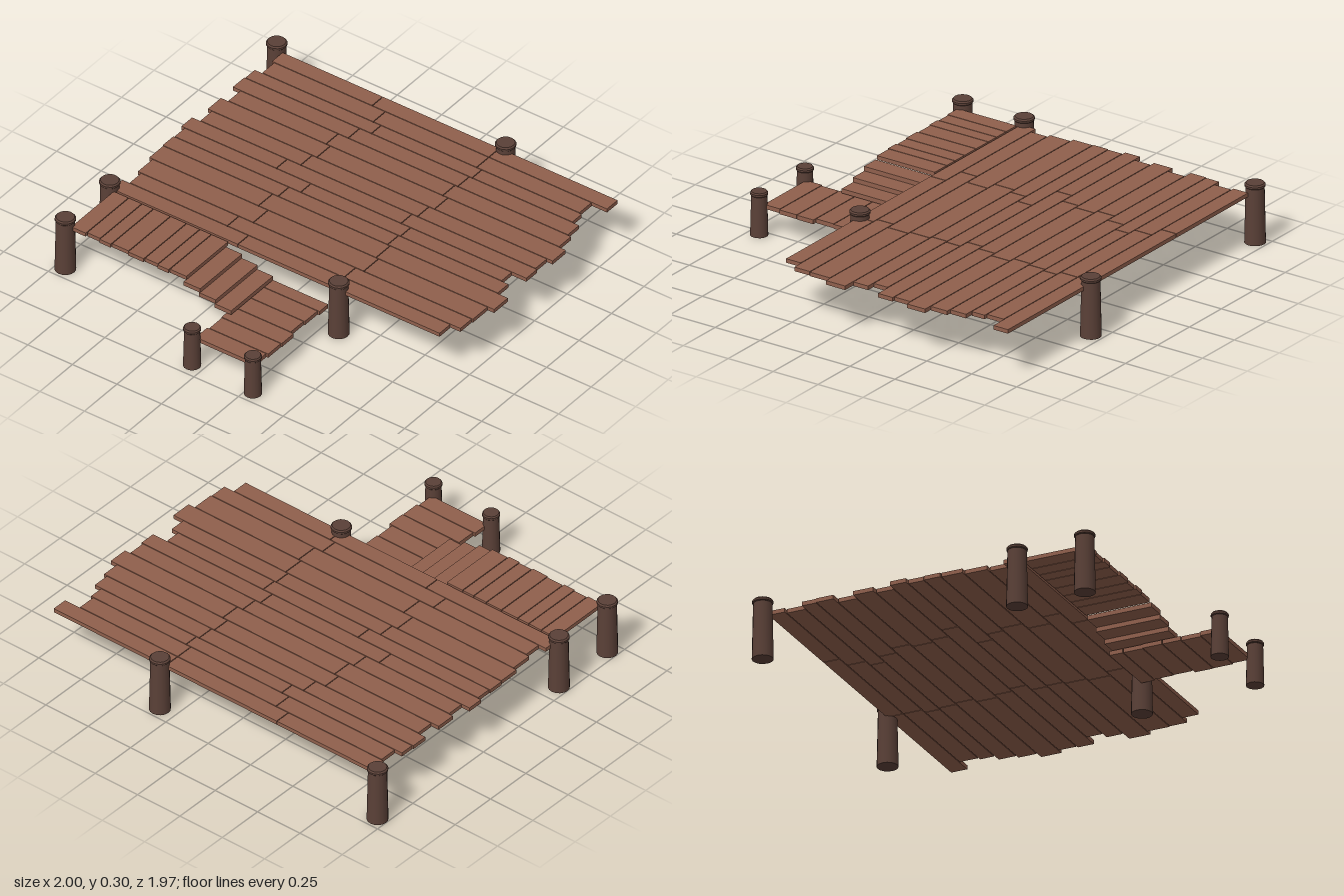
import * as THREE from 'three';

const GAP = 0.004;
const wood = new THREE.MeshStandardMaterial({ color: 0x8f5f4c });
const darkWood = new THREE.MeshStandardMaterial({ color: 0x5a4037 });

// One board filling the given extents
function plank(parent, name, x0, x1, y0, y1, z0, z1) {
  const mesh = new THREE.Mesh(new THREE.BoxGeometry(x1 - x0, y1 - y0, z1 - z0), wood);
  mesh.position.set((x0 + x1) / 2, (y0 + y1) / 2, (z0 + z1) / 2);
  mesh.name = name;
  parent.add(mesh);
}

// Tapered round post with a slightly flared, bevelled cap
function post(parent, name, x, z, r, h) {
  const group = new THREE.Group();
  group.name = name;
  const capBase = h - 0.02;
  const shaft = new THREE.Mesh(new THREE.CylinderGeometry(r * 0.88, r, capBase, 16), darkWood);
  shaft.position.y = capBase / 2;
  shaft.name = 'shaft';
  const profile = [[0, 0], [r * 0.9, 0], [r * 0.98, 0.004], [r * 0.98, 0.013], [r * 0.85, 0.02], [0, 0.02]];
  const capGeometry = new THREE.LatheGeometry(profile.map(p => new THREE.Vector2(...p)), 16).toNonIndexed();
  capGeometry.computeVertexNormals();
  const cap = new THREE.Mesh(capGeometry, darkWood);
  cap.position.y = capBase;
  cap.name = 'cap';
  group.add(shaft, cap);
  group.position.set(x, 0, z);
  parent.add(group);
}

function section(parent, name) {
  const group = new THREE.Group();
  group.name = name;
  parent.add(group);
  return group;
}

export function createModel() {
  const model = new THREE.Group();
  model.name = 'woodenDock';

  // Main deck: rows of three boards with staggered joints
  const deck = section(model, 'mainDeck');
  const rowZ = [-0.93, -0.845, -0.75, -0.675, -0.585, -0.49, -0.385, -0.295, -0.21, -0.13, -0.045, 0.065, 0.18, 0.27, 0.355];
  const rowX = [
    [-0.91, -0.345, 0.31, 0.97], [-0.895, -0.27, 0.31, 0.885], [-0.935, -0.225, 0.34, 0.9],
    [-0.94, -0.29, 0.325, 0.94], [-0.895, -0.345, 0.31, 0.96], [-0.935, -0.32, 0.34, 1.0],
    [-0.91, -0.345, 0.31, 0.97], [-0.955, -0.42, 0.28, 0.98], [-0.935, -0.225, 0.335, 0.9],
    [-0.94, -0.29, 0.325, 0.94], [-0.935, -0.32, 0.34, 1.0], [-0.915, -0.265, 0.355, 0.965],
    [-0.895, -0.345, 0.31, 0.96], [-0.935, -0.225, 0.34, 0.905],
  ];
  rowX.forEach((xs, i) => {
    for (let j = 0; j < 3; j++) {
      plank(deck, 'deckPlank', xs[j], xs[j + 1] - (j < 2 ? GAP : 0), 0.235, 0.255, rowZ[i], rowZ[i + 1] - GAP);
    }
  });

  // Side walkway: boards laid across, level with the deck
  const walkway = section(model, 'walkway');
  const walkX = [-0.915, -0.83, -0.755, -0.69, -0.595, -0.505, -0.43, -0.365, -0.27];
  for (let i = 0; i < walkX.length - 1; i++) {
    const end = i % 2 ? 0.683 : 0.69;
    plank(walkway, 'walkwayPlank', walkX[i], walkX[i + 1] - GAP, 0.235, 0.255, 0.362, end);
  }

  // Steps down to the landing
  const steps = section(model, 'steps');
  for (let i = 0; i < 3; i++) {
    const x = -0.28 + i * 0.087, y = 0.208 - i * 0.024;
    plank(steps, 'stepPlank', x, x + 0.092, y, y + 0.022, 0.372, 0.695);
  }

  // Lower landing
  const landing = section(model, 'landing');
  const landZ = [0.365, 0.435, 0.535, 0.635, 0.73, 0.83, 0.922];
  const landX = [[-0.04, 0.29], [-0.04, 0.28], [-0.045, 0.275], [-0.045, 0.293], [-0.04, 0.29], [-0.05, 0.28]];
  landX.forEach(([x0, x1], i) => {
    plank(landing, 'landingPlank', x0, x1, 0.132, 0.153, landZ[i], landZ[i + 1] - GAP);
  });

  // Posts: tall ones around the deck, short ones at the landing
  const posts = section(model, 'posts');
  for (const [x, z] of [[-0.95, -0.94], [0.335, -0.94], [-0.95, 0.345], [0.335, 0.345], [-0.95, 0.687]]) {
    post(posts, 'tallPost', x, z, 0.05, 0.296);
  }
  for (const [x, z] of [[-0.06, 0.932], [0.287, 0.94]]) {
    post(posts, 'shortPost', x, z, 0.042, 0.218);
  }

  return model;
}
